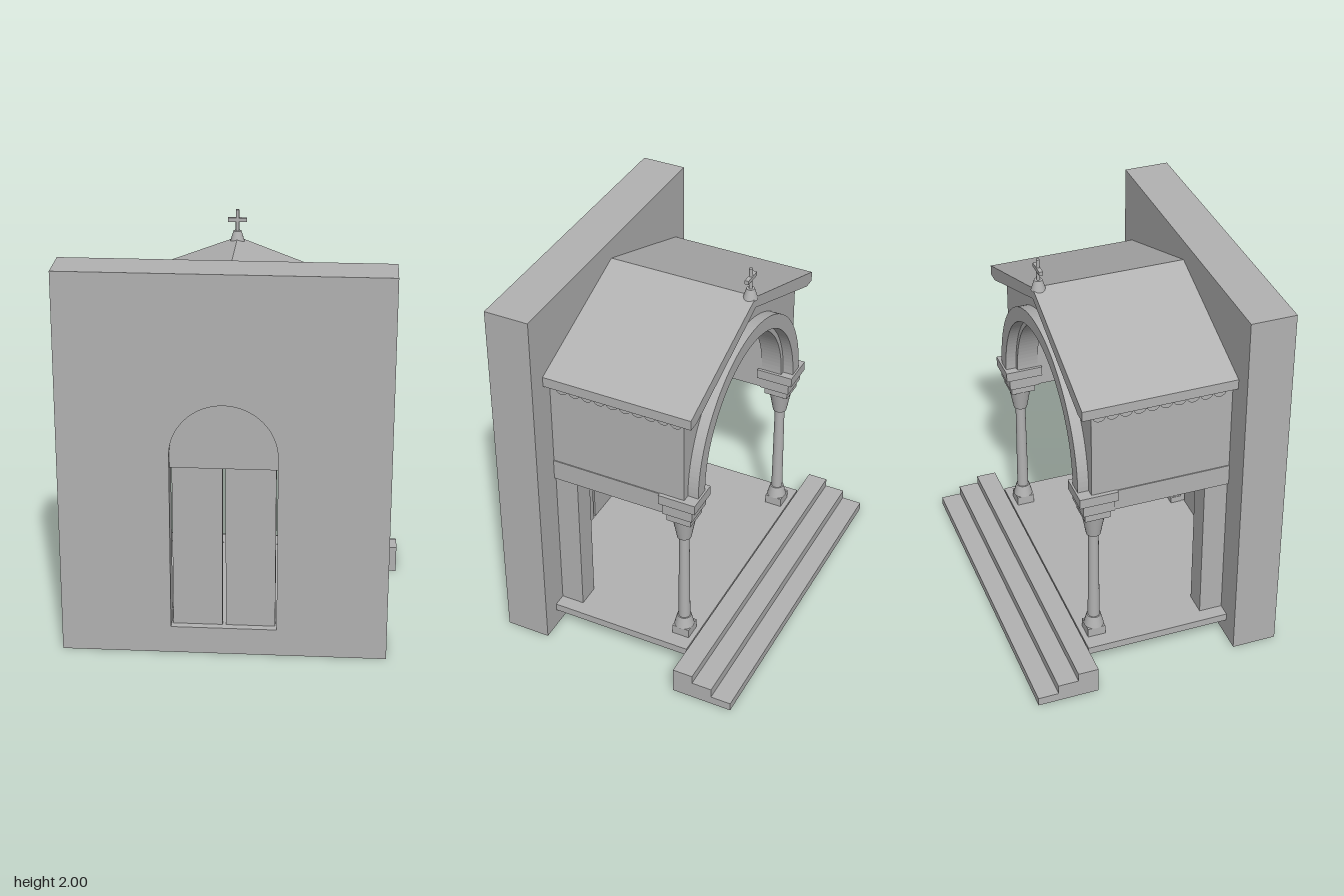
import * as THREE from 'three';

const stone = new THREE.MeshStandardMaterial({ color: 0xb2b2b2 });
stone.name = 'grey stone';

export function createModel() {
  const model = new THREE.Group();
  model.name = 'porchAndWall';

  const add = (name, geometry, x = 0, y = 0, z = 0, parent = model) => {
    const mesh = new THREE.Mesh(geometry, stone);
    mesh.name = name;
    mesh.position.set(x, y, z);
    parent.add(mesh);
    return mesh;
  };
  // Box given by its limits on each axis
  const box = (name, x0, x1, y0, y1, z0, z1, parent) =>
    add(name, new THREE.BoxGeometry(x1 - x0, y1 - y0, z1 - z0),
      (x0 + x1) / 2, (y0 + y1) / 2, (z0 + z1) / 2, parent);
  // Shape in the xy plane pulled from z0 to z1
  const slab = (name, shape, z0, z1) =>
    add(name, new THREE.ExtrudeGeometry(shape, { depth: z1 - z0, bevelEnabled: false, curveSegments: 32 }), 0, 0, z0);
  const polygon = (points) => new THREE.Shape(points.map(([x, y]) => new THREE.Vector2(x, y)));
  const drum = (name, rTop, rBottom, y0, y1, x, z, parent, sides = 24) =>
    add(name, new THREE.CylinderGeometry(rTop, rBottom, y1 - y0, sides), x, (y0 + y1) / 2, z, parent);

  const floorY = 0.14, spring = 1.05;

  // Wall in layers, its round-headed portal narrowing in steps
  const layers = [[0.45, 0.42, 0.465], [0.385, 0.465, 0.51], [0.32, 0.51, 0.555], [0.26, 0.555, 0.65]];
  for (const [r, z0, z1] of layers) {
    const shape = polygon([[-0.8, 0], [0.8, 0], [0.8, 1.95], [-0.8, 1.95]]);
    const hole = new THREE.Path();
    hole.moveTo(-r, floorY);
    hole.lineTo(-r, spring);
    hole.absarc(0, spring, r, Math.PI, 0, true);
    hole.lineTo(r, floorY);
    hole.closePath();
    shape.holes.push(hole);
    slab('wallLayer', shape, z0, z1);
  }

  // Filled arch head above the door
  const head = new THREE.Shape();
  head.moveTo(-0.26, 0.98);
  head.lineTo(0.26, 0.98);
  head.lineTo(0.26, spring);
  head.absarc(0, spring, 0.26, 0, Math.PI, false);
  head.closePath();
  slab('tympanum', head, 0.56, 0.625);

  // Floor and steps
  box('porchFloor', -0.7, 0.7, 0.1, floorY, -0.33, 0.42);
  box('topStep', -0.86, 0.86, 0, 0.14, -0.44, -0.335);
  box('middleStep', -0.86, 0.86, 0, 0.095, -0.545, -0.44);
  box('bottomStep', -0.86, 0.86, 0, 0.045, -0.65, -0.545);

  // Hanging scalloped frieze, drawn along the side wall
  const frieze = new THREE.Shape();
  const scallops = 10, radius = 0.0335;
  frieze.moveTo(-0.38, 1.54);
  frieze.lineTo(-0.38, 1.515);
  for (let i = 0; i < scallops; i++)
    frieze.absarc(-0.38 + radius * (2 * i + 1), 1.515, radius, Math.PI, Math.PI * 2, false);
  frieze.lineTo(-0.38 + radius * 2 * scallops, 1.54);
  frieze.closePath();
  const friezeGeometry = new THREE.ExtrudeGeometry(frieze, { depth: 0.02, bevelEnabled: false, curveSegments: 10 });

  for (const s of [-1, 1]) {
    const sideBox = (name, a, b, ...rest) => box(name, Math.min(s * a, s * b), Math.max(s * a, s * b), ...rest);
    sideBox('doorLeaf', 0.008, 0.251, floorY, 0.98, 0.575, 0.61);
    sideBox('pier', 0.51, 0.63, floorY, 0.94, 0.3, 0.42);
    sideBox('sideBeam', 0.5, 0.645, 0.94, spring, -0.31, 0.42);
    sideBox('sideWall', 0.5, 0.64, spring, 1.58, -0.18, 0.42);
    sideBox('pierImpost', 0.485, 0.64, 0.94, spring, 0.29, 0.42);
    sideBox('upperImpost', 0.485, 0.66, 1.0, spring + 0.002, -0.355, -0.16);
    sideBox('lowerImpost', 0.495, 0.65, 0.938, 1.0, -0.335, -0.175);
    const band = add('scallopFrieze', friezeGeometry, s > 0 ? 0.638 : -0.658);
    band.rotation.y = Math.PI / 2;

    // Free-standing front column
    const column = new THREE.Group();
    column.name = 'frontColumn';
    column.position.set(s * 0.575, 0, -0.258);
    model.add(column);
    box('plinth', -0.046, 0.046, floorY, 0.19, -0.046, 0.046, column);
    drum('base', 0.036, 0.051, 0.19, 0.25, 0, 0, column);
    drum('shaft', 0.026, 0.03, 0.25, 0.77, 0, 0, column);
    drum('capital', 0.06, 0.036, 0.77, 0.9, 0, 0, column);
    box('abacus', -0.064, 0.064, 0.895, 0.94, -0.064, 0.064, column);

    // Slender columns set in the portal's nooks
    for (let i = 0; i < 3; i++) {
      const colonnette = new THREE.Group();
      colonnette.name = 'portalColumn';
      colonnette.position.set(s * (0.417 - i * 0.064), 0, 0.438 + i * 0.045);
      model.add(colonnette);
      box('plinth', -0.032, 0.032, floorY, 0.175, -0.03, 0.027, colonnette);
      drum('base', 0.02, 0.03, 0.175, 0.205, 0, 0, colonnette, 16);
      drum('shaft', 0.019, 0.02, 0.205, 0.95, 0, 0, colonnette, 16);
      drum('capital', 0.032, 0.02, 0.95, 1.015, 0, 0, colonnette, 16);
      box('abacus', -0.033, 0.033, 1.015, spring, -0.03, 0.027, colonnette);
    }
  }

  // Gable wall with its round arch
  const gable = polygon([[0.5, spring], [0.64, spring], [0.64, 1.56], [0, 1.797], [-0.64, 1.56], [-0.64, spring], [-0.5, spring]]);
  gable.absarc(0, spring, 0.5, Math.PI, 0, true);
  slab('gableWall', gable, -0.29, -0.18);

  // Raised arch moulding
  const ring = new THREE.Shape();
  ring.absarc(0, spring, 0.6, 0, Math.PI, false);
  ring.absarc(0, spring, 0.525, Math.PI, 0, true);
  slab('archMoulding', ring, -0.345, -0.29);

  // Roof and flat ceiling
  slab('roof', polygon([[0, 1.85], [-0.7, 1.587], [-0.7, 1.535], [-0.64, 1.535], [0, 1.79], [0.64, 1.535], [0.7, 1.535], [0.7, 1.587]]), -0.355, 0.42);
  box('ceiling', -0.51, 0.51, 1.57, 1.585, -0.18, 0.42);

  // Finial with a cross
  drum('finialBase', 0.02, 0.037, 1.835, 1.89, 0, -0.325);
  drum('finialStem', 0.009, 0.009, 1.885, 2.0, 0, -0.325, model, 12);
  box('crossArm', -0.048, 0.048, 1.937, 1.957, -0.335, -0.315);
  return model;
}
